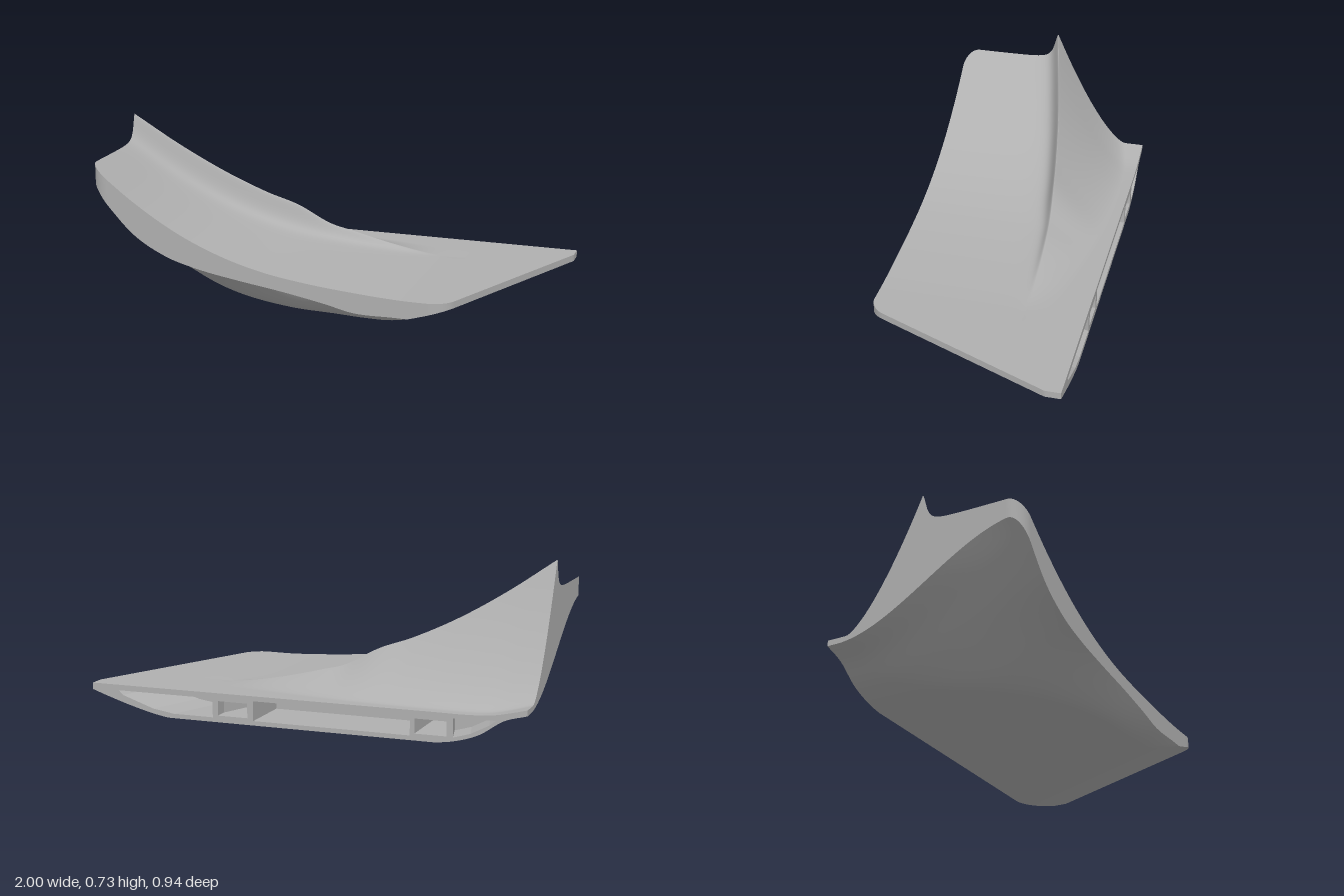
import * as THREE from 'three';

const grey = new THREE.MeshStandardMaterial({ color: 0xb0b0b0, side: THREE.DoubleSide });
grey.name = 'plain grey';

// smooth curve through [x, value] pairs
function curve(...pairs) {
  const f = new THREE.CubicInterpolant(pairs.map(p => p[0]), pairs.map(p => p[1]), 1);
  return x => f.evaluate(x)[0];
}
const clamp01 = t => Math.min(1, Math.max(0, t));
const lerp = THREE.MathUtils.lerp;

const FRONT = 0.465;
const deckY = curve([-1, 0.6], [-0.8, 0.45], [-0.6, 0.33], [-0.4, 0.245], [-0.2, 0.19], [0, 0.16], [0.2, 0.142], [0.42, 0.13], [0.6, 0.13], [1, 0.13]);
const crestY = curve([-1, 0.73], [-0.8, 0.59], [-0.6, 0.47], [-0.4, 0.375], [-0.25, 0.32], [-0.1, 0.24], [0, 0.213], [0.2, 0.165], [0.42, 0.13], [0.6, 0.13], [1, 0.13]);
const crestZ = curve([-1, 0], [-0.8, -0.05], [-0.6, -0.095], [-0.2, -0.16], [0, -0.18], [0.4, -0.195], [1, -0.2]);
const slopeEndZ = curve([-1, -0.35], [-0.8, -0.39], [-0.6, -0.4], [-0.2, -0.39], [0.2, -0.34], [0.4, -0.31], [1, -0.3]);
const backTopY = curve([-1, 0.17], [-0.95, 0.157], [-0.85, 0.136], [-0.75, 0.13], [-0.6, 0.13], [1, 0.13]);
const floorY = curve([-1, 0.145], [-0.9, 0.115], [-0.8, 0.05], [-0.7, 0.015], [-0.6, 0], [-0.4, 0], [1, 0]);
const frontLowY = curve([-1, 0.52], [-0.9, 0.4], [-0.8, 0.3], [-0.65, 0.215], [-0.5, 0.172], [-0.3, 0.138], [-0.1, 0.11], [0.1, 0.075], [0.22, 0.05], [0.4, 0.05], [1, 0.05]);
const riseStartZ = curve([-1, -0.4], [-0.8, -0.3], [-0.6, 0], [-0.4, 0.2], [-0.1, 0.33], [0.1, 0.34], [1, 0.34]);

// plan outline: slanted right end, rounded front corners
const backZ = x => -0.44 - 0.015 * (x + 1);
const slantX = z => Math.min(1, 1 - 0.44 * (z + 0.4));
const corner = z => 1 - Math.sqrt(1 - clamp01((z - 0.4) / (FRONT - 0.4)) ** 2);
const leftX = z => -1 + 0.08 * corner(z);
const rightX = z => slantX(z) - 0.07 * corner(z);

function topY(x, z) {
  const zc = crestZ(x), c = crestY(x);
  if (z < zc) {
    const t = clamp01((zc - z) / (zc - slopeEndZ(x)));
    return lerp(backTopY(x), c, (1 - t) ** 1.45);
  }
  return deckY(x) + (c - deckY(x)) / (1 + ((z - zc) / 0.022) ** 2);
}

function bottomY(x, z) {
  const zs = riseStartZ(x), t = clamp01((z - zs) / (FRONT - zs)), k = clamp01(-x);
  const frontRise = lerp(floorY(x), frontLowY(x), t * t * (1 + 2 * k * (1 - t)));
  const endRise = 0.1 * clamp01(1 - (slantX(z) - x) / 0.38) ** 1.3;
  return Math.max(frontRise, endRise);
}

// plan grid whose middle row follows the crest
const NX = 120, NB = 36, NF = 70, NZ = NB + NF;
const grid = [];
for (let j = 0; j <= NZ; j++) {
  const row = [];
  for (let i = 0; i <= NX; i++) {
    let x = lerp(-1, 1, i / NX), z = 0;
    for (let n = 0; n < 6; n++) {
      const f = (j - NB) / NF;
      z = j < NB ? lerp(backZ(x), crestZ(x), j / NB) : lerp(crestZ(x), FRONT, f * f * (3 - 2 * f));
      x = lerp(leftX(z), rightX(z), i / NX);
    }
    row.push([x, z]);
  }
  grid.push(row);
}

// indexed surface from rows of points
function surface(rows, flip) {
  const w = rows[0].length, index = [];
  for (let j = 0; j < rows.length - 1; j++) {
    for (let i = 0; i < w - 1; i++) {
      const a = j * w + i, b = a + w, c = a + 1, d = b + 1;
      if (flip) index.push(a, c, b, c, d, b);
      else index.push(a, b, c, c, b, d);
    }
  }
  const g = new THREE.BufferGeometry();
  g.setAttribute('position', new THREE.Float32BufferAttribute(rows.flat(2), 3));
  g.setIndex(index);
  g.computeVertexNormals();
  return g;
}

// flat plate facing the back, from an outline in x and y with holes
function backPlate(outline, holes, zAt, shift = 0) {
  const pts = list => list.map(([x, y]) => new THREE.Vector2(-x, y));
  const shape = new THREE.Shape(pts(outline));
  shape.holes = holes.map(h => new THREE.Path(pts(h)));
  const g = new THREE.ShapeGeometry(shape), p = g.attributes.position;
  for (let i = 0; i < p.count; i++) {
    const x = -p.getX(i);
    p.setXYZ(i, x + shift, p.getY(i), zAt(x));
  }
  g.computeVertexNormals();
  return g;
}

// inward facing walls of a pocket
function pocketWalls(poly, depth, shift) {
  const v = [];
  poly.forEach(([x, y], i) => {
    const [X, Y] = poly[(i + 1) % poly.length];
    const p = [x, y, backZ(x)], q = [X, Y, backZ(X)];
    const P = [x + shift, y, backZ(x) + depth], Q = [X + shift, Y, backZ(X) + depth];
    v.push(...p, ...P, ...q, ...q, ...P, ...Q);
  });
  const g = new THREE.BufferGeometry();
  g.setAttribute('position', new THREE.Float32BufferAttribute(v, 3));
  g.computeVertexNormals();
  return g;
}

const box = (x0, x1, y0, y1) => [[x0, y0], [x1, y0], [x1, y1], [x0, y1]];
const pockets = [
  { poly: [[0.41, 0.02], [0.6, 0.02], [0.7, 0.035], [0.85, 0.085], [0.87, 0.105], [0.41, 0.105]], depth: 0.25, shift: -0.1 },
  { poly: box(0.245, 0.385, 0.03, 0.095), depth: 0.25, shift: 0 },
  { poly: box(-0.497, 0.217, 0.02, 0.108), depth: 0.25, shift: 0 },
  { poly: box(-0.657, -0.517, 0.03, 0.095), depth: 0.25, shift: 0 },
  { poly: [[-0.685, 0.11], [-0.87, 0.115], [-0.84, 0.092], [-0.76, 0.05], [-0.685, 0.028]], depth: 0.12, shift: 0.03 },
];

export function createModel() {
  const group = new THREE.Group();
  group.name = 'curvedPanel';
  const add = (name, geometry) => {
    const m = new THREE.Mesh(geometry, grey);
    m.name = name;
    group.add(m);
  };
  const top = ([x, z]) => [x, topY(x, z), z];
  const bottom = ([x, z]) => [x, Math.min(bottomY(x, z), topY(x, z) - 0.02), z];

  add('ridgedDeck', surface(grid.map(r => r.map(top)), false));
  add('underside', surface(grid.map(r => r.map(bottom)), true));

  // rim along the left end, the front and the right end
  const rim = [
    ...grid.map(r => r[0]),
    ...grid[NZ].slice(1, -1),
    ...grid.map(r => r[NX]).reverse(),
  ];
  add('rim', surface([rim.map(bottom), rim.map(top)], true));

  // back wall with open pockets
  const back = grid[0];
  const outline = [...back.map(bottom), ...back.map(top).reverse()];
  add('backWall', backPlate(outline, pockets.map(p => p.poly), backZ));
  pockets.forEach(({ poly, depth, shift }, i) => {
    add('pocketWalls' + (i + 1), pocketWalls(poly, depth, shift));
    add('pocketEnd' + (i + 1), backPlate(poly, [], x => backZ(x) + depth, shift));
  });
  return group;
}
